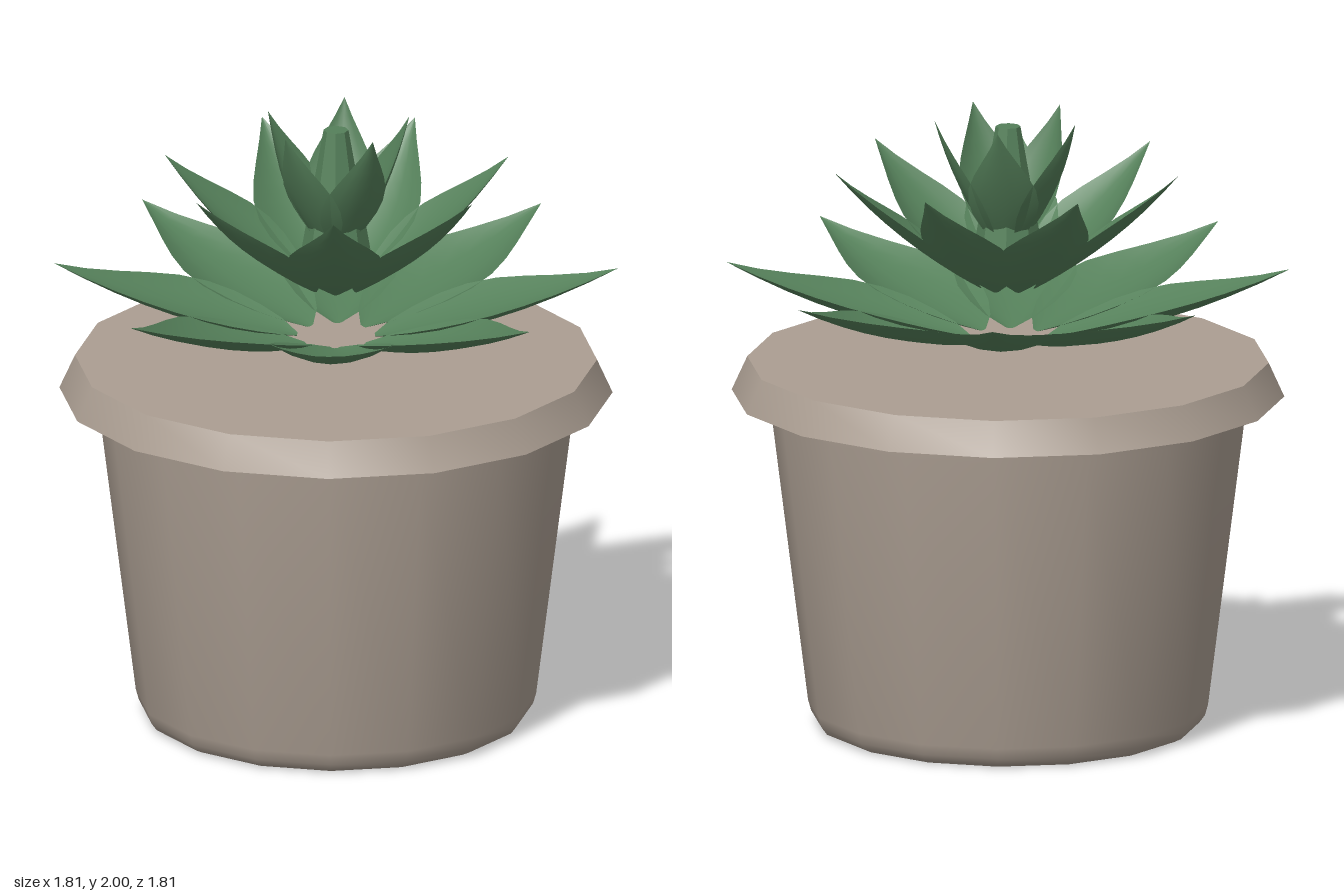
import * as THREE from 'three';
import { toCreasedNormals } from 'three/addons/utils/BufferGeometryUtils.js';

const clay = new THREE.MeshStandardMaterial({ color: 0xab9e92 });
clay.name = 'clay';
const leafGreen = new THREE.MeshStandardMaterial({ color: 0x55805a, side: THREE.DoubleSide });
leafGreen.name = 'leaf green';

function addMesh(parent, name, geometry, material) {
  const mesh = new THREE.Mesh(geometry, material);
  mesh.name = name;
  parent.add(mesh);
  return mesh;
}

function turned(points) {
  const profile = points.map(([r, y]) => new THREE.Vector2(r, y));
  return toCreasedNormals(new THREE.LatheGeometry(profile, 16), 0.6);
}

// Half width along a leaf of length 1: [position, half width]
const OUTLINE = [
  [0, 0.02], [0.07, 0.1], [0.16, 0.165], [0.27, 0.22], [0.38, 0.243],
  [0.5, 0.232], [0.62, 0.187], [0.74, 0.127], [0.87, 0.06], [1, 0],
];

// Cupped leaf along +x, curving up towards its tip
function leafGeometry(length) {
  const across = 6;
  const geometry = new THREE.PlaneGeometry(1, 1, across, OUTLINE.length - 1);
  const pos = geometry.attributes.position;
  for (let i = 0; i < pos.count; i++) {
    const [t, w] = OUTLINE[Math.floor(i / (across + 1))];
    const u = (i % (across + 1)) / across * 2 - 1;
    const sag = -0.18 * t * (1 - t);
    const cup = 0.3 * w * u * u;
    pos.setXYZ(i, t * length, (sag + cup) * length, u * w * length);
  }
  // Rows run along +x and columns along +z, so the faces already look up
  geometry.computeVertexNormals();
  return geometry;
}

// Ring of leaves from a base [radius, height] to a tip [radius, height]
function addLeafRing(parent, name, count, turn, base, tip) {
  const ring = new THREE.Group();
  ring.name = name;
  const dr = tip[0] - base[0];
  const dy = tip[1] - base[1];
  const geometry = leafGeometry(Math.hypot(dr, dy));
  geometry.rotateZ(Math.atan2(dy, dr));
  geometry.translate(base[0], base[1], 0);
  for (let i = 0; i < count; i++) {
    const leaf = addMesh(ring, 'leaf', geometry, leafGreen);
    leaf.rotation.y = turn + (i / count) * Math.PI * 2;
  }
  parent.add(ring);
}

export function createModel() {
  const model = new THREE.Group();
  model.name = 'pottedSucculent';

  // Tapered pot with softened edges
  addMesh(model, 'potBody', turned([
    [0, 0], [0.59, 0], [0.615, 0.012], [0.632, 0.035], [0.642, 0.07],
    [0.763, 1.04], [0.765, 1.065], [0.755, 1.08], [0.71, 1.092],
  ]), clay);

  // Flared collar with a closed top
  addMesh(model, 'potRim', turned([
    [0, 1.09], [0.887, 1.09], [0.837, 1.2], [0, 1.2],
  ]), clay);

  // Three rings of leaves, steeper towards the middle
  addLeafRing(model, 'outerLeaves', 8, 0, [0.125, 1.273], [0.905, 1.51]);
  addLeafRing(model, 'middleLeaves', 7, 0.35, [0.09, 1.44], [0.565, 1.84]);
  addLeafRing(model, 'innerLeaves', 5, 0.7, [0.04, 1.575], [0.24, 2]);

  // Faceted centre bud
  const budGeometry = new THREE.CylinderGeometry(0.04, 0.11, 0.4, 8);
  const bud = addMesh(model, 'bud', toCreasedNormals(budGeometry, 0.3), leafGreen);
  bud.position.y = 1.77;

  return model;
}
